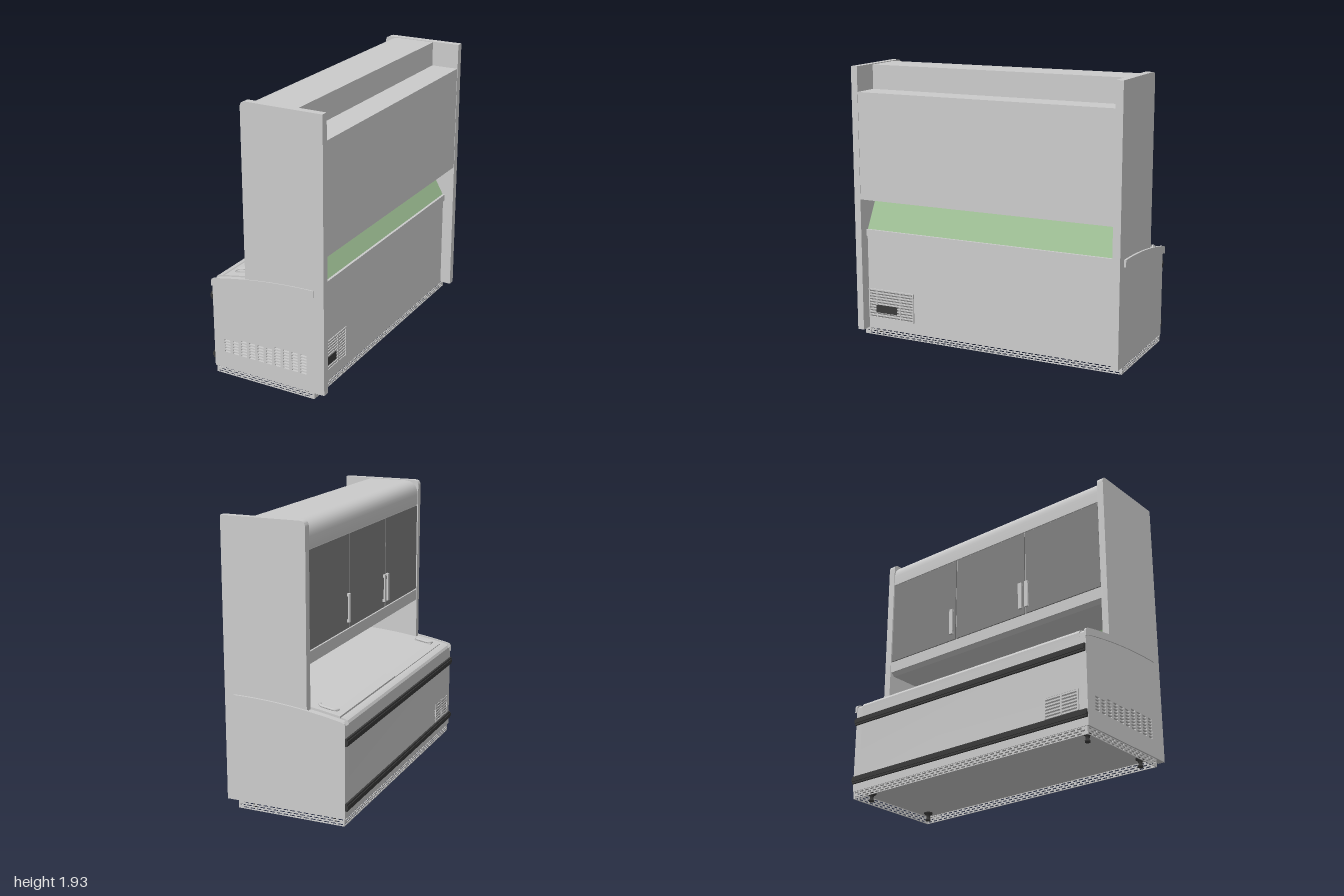
import * as THREE from 'three';
import { toCreasedNormals } from 'three/addons/utils/BufferGeometryUtils.js';

const mat = (color) => new THREE.MeshStandardMaterial({ color });
const Z0 = -0.932, Z1 = 0.945; // inner faces of the end panels

// Height of the arched freezer top at x
const arch = (x) => 0.785 - 0.142 * (x - 0.36) ** 2;

function archPoints(x0, x1, offset, n = 16) {
  return Array.from({ length: n + 1 }, (_, i) => {
    const x = x0 + ((x1 - x0) * i) / n;
    return new THREE.Vector2(x, arch(x) + offset);
  });
}

function rectHole(shape, x, y, w, h) {
  shape.holes.push(new THREE.Path([[x, y], [x, y + h], [x + w, y + h], [x + w, y]].map((p) => new THREE.Vector2(...p))));
}

export function createModel() {
  const root = new THREE.Group();
  const grey = mat(0xcccccc), dark = mat(0x3a3a3a), doorGrey = mat(0x808080), green = mat(0x9cbc92);

  const add = (name, geo, material = grey, parent = root) => {
    const m = new THREE.Mesh(geo, material);
    m.name = name;
    parent.add(m);
    return m;
  };
  // Box given by its limits on each axis
  const box = (name, x0, x1, y0, y1, z0, z1, material, parent) => {
    const m = add(name, new THREE.BoxGeometry(x1 - x0, y1 - y0, z1 - z0), material, parent);
    m.position.set((x0 + x1) / 2, (y0 + y1) / 2, (z0 + z1) / 2);
    return m;
  };
  // Side profile (x, y) extruded between two z values
  const slab = (name, shape, z0, z1, material, parent) => {
    const geo = new THREE.ExtrudeGeometry(shape, { depth: z1 - z0, bevelEnabled: false, curveSegments: 8 });
    const m = add(name, toCreasedNormals(geo, 0.5), material, parent);
    m.position.z = z0;
    return m;
  };

  // End panels: freezer cheek and tall upright in one piece
  const panelShape = () => {
    const s = new THREE.Shape();
    s.moveTo(-0.41, 0.06);
    s.lineTo(0.43, 0.06);
    s.lineTo(0.43, 1.935);
    s.lineTo(-0.11, 1.935);
    s.quadraticCurveTo(-0.15, 1.935, -0.15, 1.895);
    s.lineTo(-0.15, arch(-0.15) - 0.01);
    archPoints(-0.39, -0.15, -0.01, 6).reverse().forEach((p) => s.lineTo(p.x, p.y));
    s.lineTo(-0.41, 0.675);
    return s;
  };
  const vented = panelShape();
  [5, 5, 6, 6, 6, 6, 7, 7, 7, 7].forEach((rows, c) => {
    for (let r = 0; r < rows; r++) rectHole(vented, -0.33 + c * 0.065, 0.18 + r * 0.0205, 0.045, 0.011);
  });
  slab('ventedEndPanel', vented, Z1, 0.993);
  slab('plainEndPanel', panelShape(), -0.985, Z0);

  // Arched trim on both ends
  const trim = new THREE.Shape([
    new THREE.Vector2(-0.415, 0.645),
    ...archPoints(-0.38, 0.36, -0.048),
    ...archPoints(-0.39, 0.36, 0).reverse(),
    new THREE.Vector2(-0.408, 0.697),
    new THREE.Vector2(-0.415, 0.685),
  ]);
  slab('endTrim', trim, 0.985, 1.0);
  slab('endTrim', trim, -1.0, -0.98);

  // Freezer body
  const body = new THREE.Shape([
    new THREE.Vector2(-0.41, 0.06),
    new THREE.Vector2(0.35, 0.06),
    ...archPoints(-0.35, 0.35, -0.014).reverse(),
    new THREE.Vector2(-0.36, 0.712),
    new THREE.Vector2(-0.385, 0.707),
    new THREE.Vector2(-0.403, 0.697),
    new THREE.Vector2(-0.412, 0.68),
    new THREE.Vector2(-0.41, 0.65),
  ]);
  slab('freezerBody', body, Z0, Z1);
  box('rearRail', 0.33, 0.362, 0.735, 0.782, Z0, Z1);

  // Sliding lids with bracket handles
  [[-0.925, 0.0, 0.002], [0.005, 0.935, -0.004]].forEach(([z0, z1, lift], i) => {
    const lid = new THREE.Group();
    lid.name = 'slidingLid';
    root.add(lid);
    const strip = new THREE.Shape([...archPoints(-0.35, 0.31, -0.016), ...archPoints(-0.35, 0.31, lift).reverse()]);
    slab('lidPane', strip, z0, z1, grey, lid);
    const s = i ? 1 : -1;
    const zc = 0.86 * s;
    const path = new THREE.CatmullRomCurve3([
      [-0.305, 0.02], [-0.29, -0.01], [-0.24, -0.015], [-0.19, -0.01], [-0.175, 0.02],
    ].map(([x, dz]) => new THREE.Vector3(x, arch(x) + 0.008, zc + dz)));
    add('lidHandle', new THREE.TubeGeometry(path, 20, 0.009, 8), grey, lid);
    box('lidHandlePlate', -0.305, -0.175, 0.72, 0.738, zc - 0.02, zc + 0.02, grey, lid).rotation.z = 0.16;
  });

  // Bumper rails along the front
  for (const y of [0.57, 0.138]) {
    box('bumperRail', -0.424, -0.405, y - 0.025, y + 0.025, -0.985, 0.99, dark);
    box('bumperRib', -0.43, -0.42, y - 0.012, y + 0.012, -0.985, 0.99, dark);
  }

  // Small front grille
  box('frontGrilleBack', -0.414, -0.405, 0.17, 0.31, 0.67, 0.93, doorGrey);
  for (let i = 0; i < 7; i++) box('frontGrilleBar', -0.418, -0.41, 0.17 + i * 0.021, 0.181 + i * 0.021, 0.67, 0.93);
  for (const z of [0.67, 0.795, 0.92]) box('frontGrillePost', -0.419, -0.41, 0.17, 0.31, z, z + 0.01);

  // Rear machine-bay grille
  box('rearGrilleBack', 0.345, 0.352, 0.135, 0.35, 0.575, 0.943, doorGrey);
  for (let i = 0; i < 11; i++) box('rearGrilleBar', 0.35, 0.358, 0.135 + i * 0.0205, 0.145 + i * 0.0205, 0.575, 0.943);
  for (const z of [0.575, 0.68, 0.87, 0.933]) box('rearGrillePost', 0.35, 0.36, 0.135, 0.35, z, z + 0.008);
  box('rearGrilleCore', 0.35, 0.361, 0.18, 0.235, 0.71, 0.88, dark);

  // Slotted skirt around the base
  const skirt = (name, length) => {
    const s = new THREE.Shape([[0, 0.008], [length, 0.008], [length, 0.062], [0, 0.062]].map((p) => new THREE.Vector2(...p)));
    for (let r = 0; r < 3; r++)
      for (let u = 0.012 + (r % 2) * 0.024; u + 0.036 < length - 0.005; u += 0.048) rectHole(s, u, 0.014 + r * 0.016, 0.034, 0.009);
    return add(name, new THREE.ExtrudeGeometry(s, { depth: 0.006, bevelEnabled: false }));
  };
  skirt('endSkirt', 0.755).position.set(-0.405, 0, 0.976);
  skirt('endSkirt', 0.755).position.set(-0.405, 0, -0.982);
  for (const x of [-0.405, 0.344]) {
    const m = skirt('longSkirt', 1.96);
    m.rotation.y = -Math.PI / 2;
    m.position.set(x + 0.006, 0, -0.98);
  }

  // Adjustable feet
  for (const x of [-0.305, 0.27])
    for (const z of [-0.905, 0.91]) {
      const foot = new THREE.LatheGeometry([[0, 0], [0.018, 0], [0.018, 0.012], [0.012, 0.018], [0.014, 0.04], [0.03, 0.05], [0.03, 0.062]].map((p) => new THREE.Vector2(...p)), 16);
      add('foot', foot, dark).position.set(x, 0, z);
    }

  // Upper cabinet with rounded brow and rear step
  const cab = new THREE.Shape();
  cab.moveTo(-0.135, 1.03);
  cab.lineTo(-0.11, 1.01);
  cab.lineTo(0.427, 1.01);
  cab.lineTo(0.427, 1.76);
  cab.lineTo(0.23, 1.76);
  cab.lineTo(0.23, 1.93);
  cab.lineTo(-0.04, 1.93);
  cab.bezierCurveTo(-0.1, 1.93, -0.145, 1.9, -0.145, 1.83);
  cab.lineTo(-0.145, 1.755);
  cab.lineTo(-0.135, 1.755);
  slab('upperCabinet', cab, Z0, Z1);
  box('cabinetSill', -0.146, -0.13, 1.03, 1.11, Z0, Z1);

  // Cabinet doors and their pulls
  const w = (Z1 - Z0) / 3;
  for (let i = 0; i < 3; i++) box('cabinetDoor', -0.144, -0.13, 1.118, 1.748, Z0 + i * w + 0.005, Z0 + (i + 1) * w - 0.005, doorGrey);
  for (const z of [-0.34, 0.285, 0.34]) {
    box('doorPull', -0.163, -0.153, 1.16, 1.355, z - 0.014, z + 0.014);
    for (const y of [1.16, 1.335]) box('doorPullMount', -0.156, -0.14, y, y + 0.02, z - 0.012, z + 0.012);
  }

  // Sloping tinted panel closing the gap behind the lids
  slab('tintedRearPanel', new THREE.Shape([[0.335, 0.77], [0.347, 0.778], [0.217, 1.012], [0.205, 1.012]].map((p) => new THREE.Vector2(...p))), Z0, Z1, green);

  return root;
}
